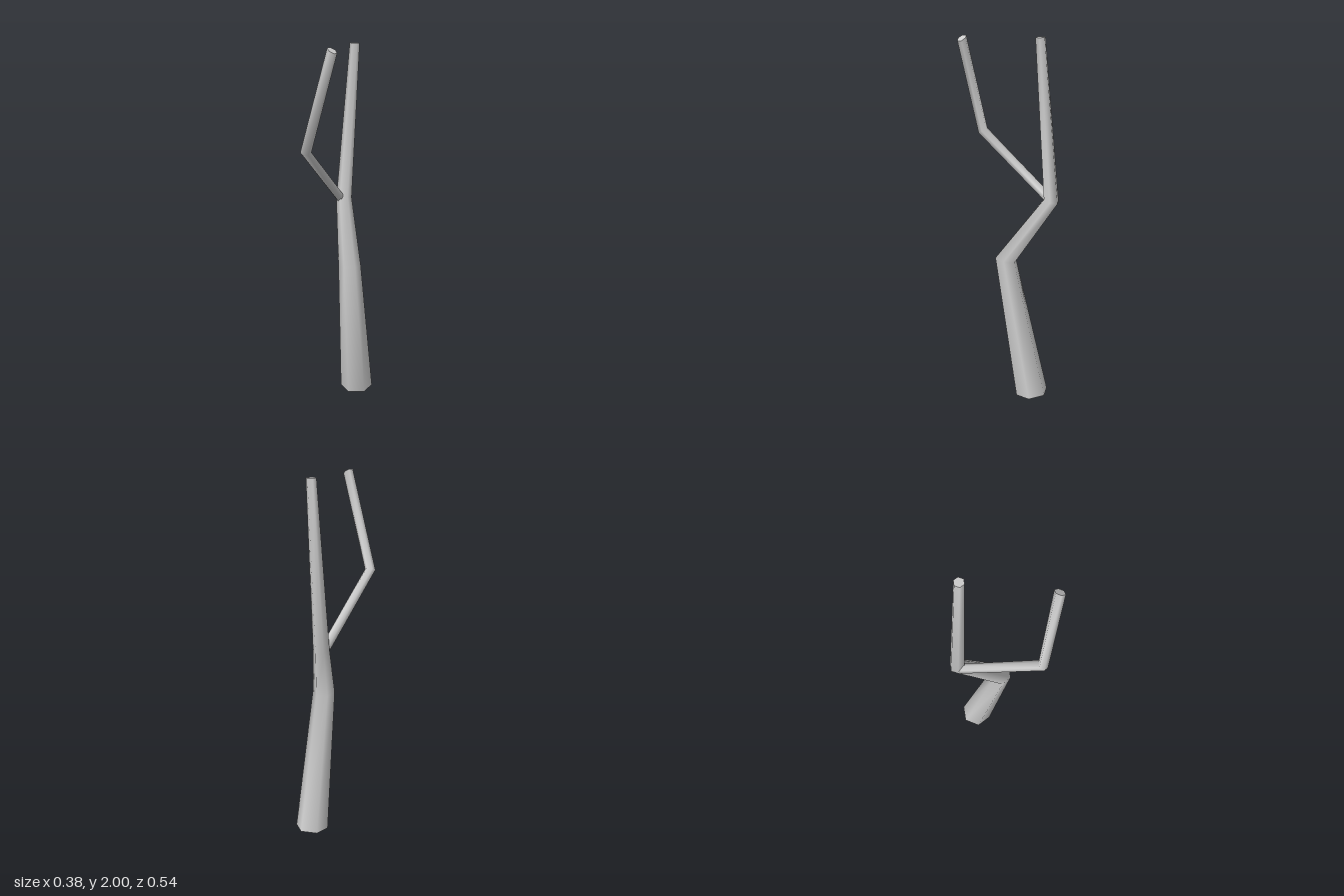
import * as THREE from 'three';

const SIDES = 6;
const PHASE = Math.PI / 12;
const UP = new THREE.Vector3(0, 1, 0);

// One hexagonal ring of points: centre, radius and the direction it faces
function ringPoints({ at, r, n }) {
  const q = new THREE.Quaternion().setFromUnitVectors(UP, new THREE.Vector3(...n).normalize());
  return Array.from({ length: SIDES }, (_, i) => {
    const a = PHASE + (i / SIDES) * Math.PI * 2;
    return new THREE.Vector3(Math.cos(a) * r, 0, Math.sin(a) * r)
      .applyQuaternion(q).add(new THREE.Vector3(...at));
  });
}

function makeGeometry(points, index) {
  const g = new THREE.BufferGeometry().setFromPoints(points);
  g.setIndex(index);
  g.computeVertexNormals();
  return g;
}

// Smooth bark skinned over the rings, with flat cut ends
function limb(name, rings, material) {
  const group = new THREE.Group();
  group.name = name;
  const loops = rings.map(ringPoints);

  const skin = [];
  for (let k = 0; k < loops.length - 1; k++) {
    for (let i = 0; i < SIDES; i++) {
      const a = k * SIDES + i;
      const b = k * SIDES + (i + 1) % SIDES;
      skin.push(a, a + SIDES, b, b, a + SIDES, b + SIDES);
    }
  }
  const bark = new THREE.Mesh(makeGeometry(loops.flat(), skin), material);
  bark.name = name + 'Bark';
  group.add(bark);

  const addCut = (loop, up, label) => {
    const fan = [];
    for (let i = 1; i < SIDES - 1; i++) fan.push(0, ...(up ? [i + 1, i] : [i, i + 1]));
    const cut = new THREE.Mesh(makeGeometry(loop, fan), material);
    cut.name = name + label;
    group.add(cut);
  };
  addCut(loops[0], false, 'LowerCut');
  addCut(loops[loops.length - 1], true, 'UpperCut');
  return group;
}

export function createModel() {
  const material = new THREE.MeshStandardMaterial({ color: 0xcccccc });
  const model = new THREE.Group();
  model.name = 'bareTree';

  // Bent, tapering trunk
  model.add(limb('trunk', [
    { at: [-0.033, 0.011, -0.18], r: 0.092, n: [0.06, 1, 0.08] },
    { at: [0.05, 0.797, -0.04], r: 0.062, n: [-0.2, 1, -0.1] },
    { at: [-0.147, 1.135, -0.183], r: 0.044, n: [-0.2, 1, -0.19] },
    { at: [-0.064, 1.999, -0.182], r: 0.027, n: [0.04, 1, 0] },
  ], material));

  // Side branch reaching forward, then turning upward
  model.add(limb('branch', [
    { at: [-0.15, 1.14, -0.155], r: 0.026, n: [0.3, 0.58, 0.75] },
    { at: [0.016, 1.46, 0.243], r: 0.029, n: [0.37, 1, 0.4] },
    { at: [0.167, 1.975, 0.197], r: 0.028, n: [0.7, 1, -0.1] },
  ], material));

  return model;
}
